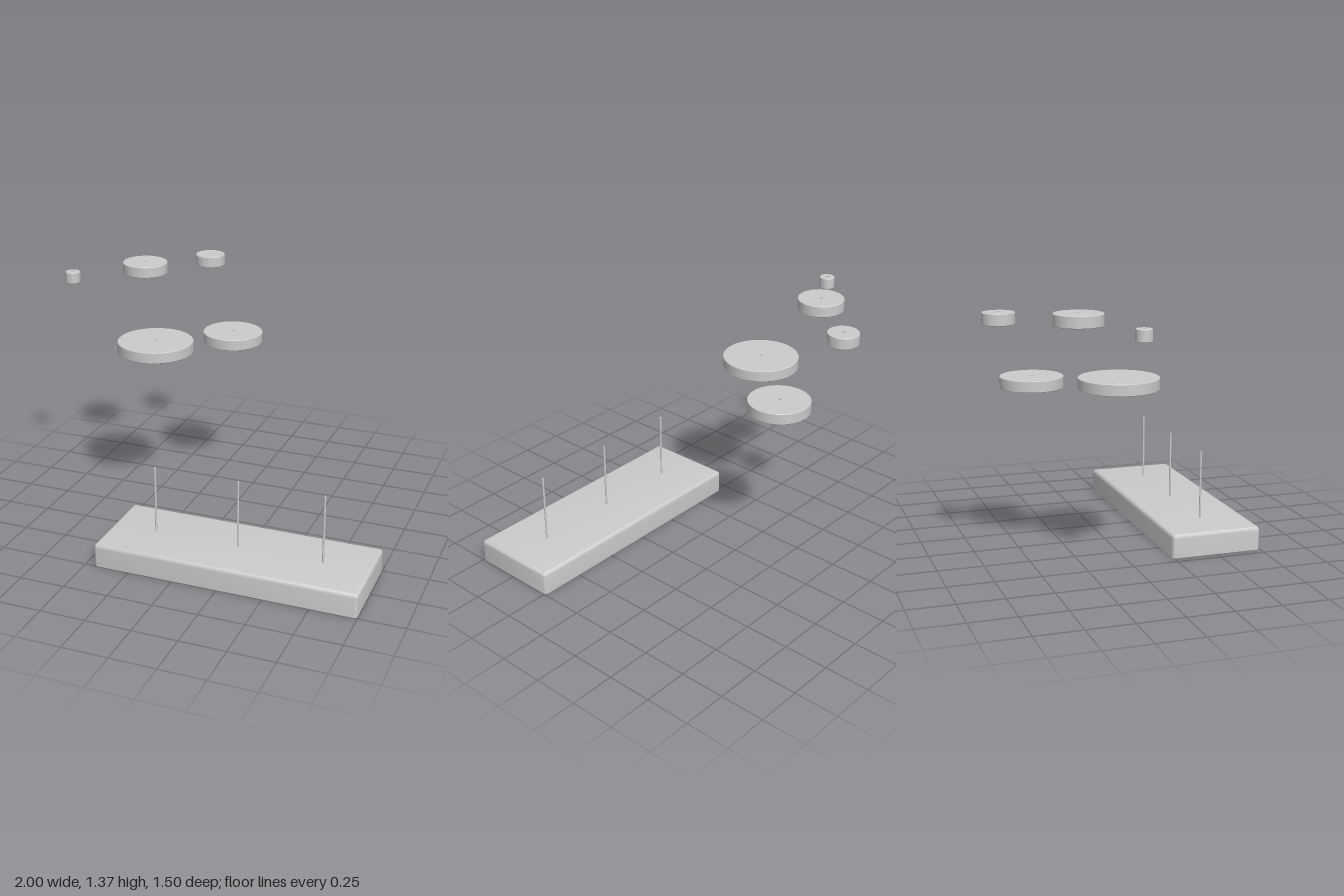
import * as THREE from 'three';
import { toCreasedNormals } from 'three/addons/utils/BufferGeometryUtils.js';
import { RoundedBoxGeometry } from 'three/addons/geometries/RoundedBoxGeometry.js';

const material = new THREE.MeshStandardMaterial({ color: 0xcccccc });

function addPart(parent, name, geometry, x, y, z) {
  const mesh = new THREE.Mesh(geometry, material);
  mesh.name = name;
  mesh.position.set(x, y, z);
  parent.add(mesh);
}

// Block with rounded sides and top, squared off flat at the bottom
function baseGeometry(width, height, depth, r) {
  const geometry = new RoundedBoxGeometry(width, height + r, depth, 4, r);
  geometry.translate(0, (height - r) / 2, 0);
  const pos = geometry.attributes.position;
  for (let i = 0; i < pos.count; i++) pos.setY(i, Math.max(0, pos.getY(i)));
  return toCreasedNormals(geometry, 0.6);
}

// Disc with a small through hole and slightly eased rims
function discGeometry(radius, height, hole = 0.01, ease = 0.003) {
  const profile = [
    [hole, 0], [radius - ease, 0], [radius, ease],
    [radius, height - ease], [radius - ease, height], [hole, height], [hole, 0],
  ].map(([x, y]) => new THREE.Vector2(x, y));
  return toCreasedNormals(new THREE.LatheGeometry(profile, 64), 0.5);
}

export function createModel() {
  const model = new THREE.Group();
  model.name = 'stackingDiscPuzzle';

  addPart(model, 'base', baseGeometry(1.445, 0.13, 0.51, 0.02), 0.275, 0, 0.495);

  // Three thin pegs standing in the base
  const pegTop = 0.512, pegFoot = 0.06;
  const peg = new THREE.CylinderGeometry(0.0055, 0.0055, pegTop - pegFoot, 24);
  [-0.195, 0.275, 0.743].forEach((x, i) =>
    addPart(model, `peg${i + 1}`, peg, x, (pegTop + pegFoot) / 2, 0.497));

  // Floating discs, largest first: radius, x, underside y, z
  [
    [0.212, -0.43, 0.946, -0.063],
    [0.17, -0.112, 0.919, -0.443],
    [0.127, -0.605, 1.31, -0.331],
    [0.085, -0.34, 1.295, -0.669],
    [0.042, -0.958, 1.274, -0.117],
  ].forEach(([radius, x, y, z], i) =>
    addPart(model, `disc${i + 1}`, discGeometry(radius, 0.062), x, y, z));

  return model;
}
